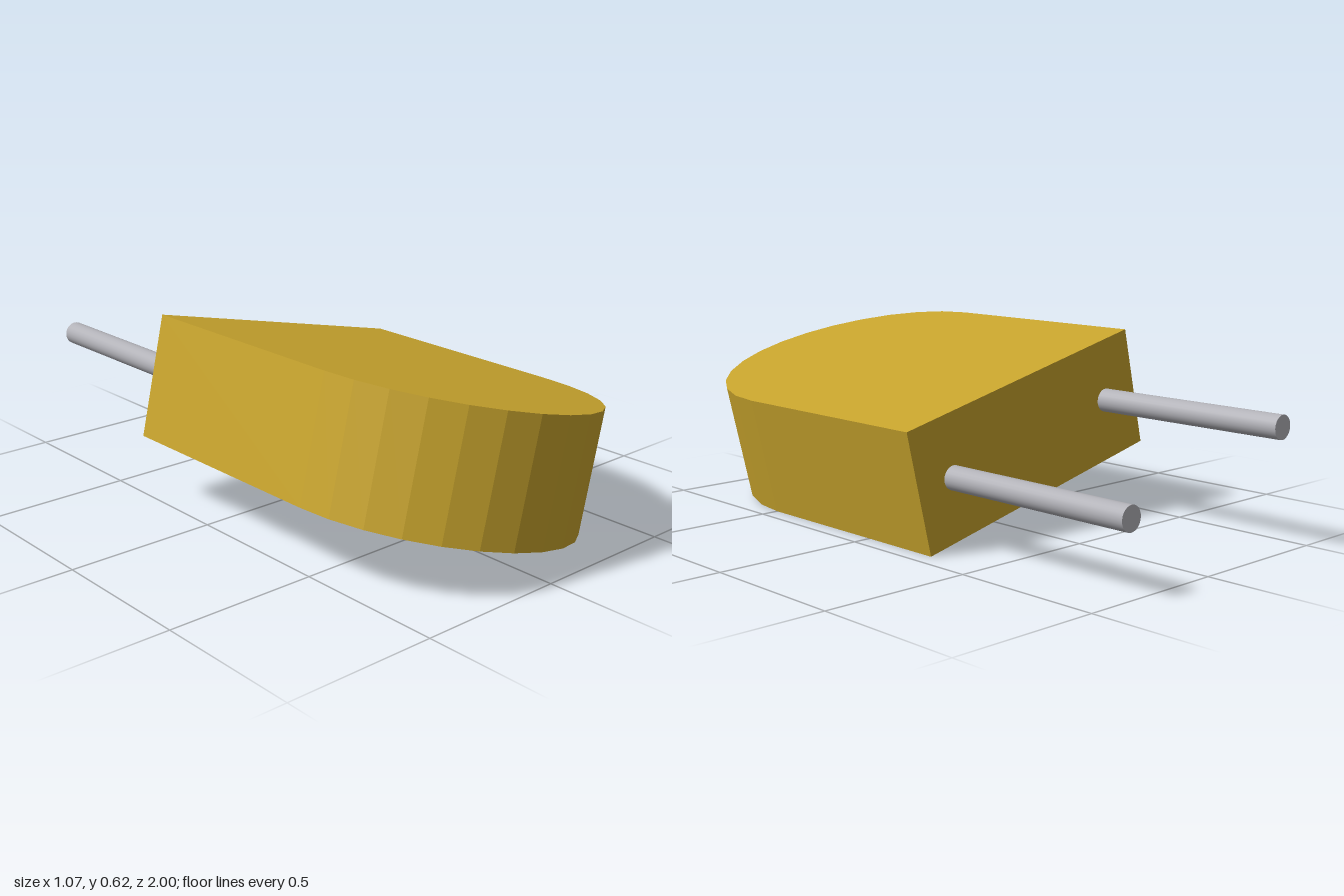
import * as THREE from 'three';

const TILT = -0.2317;     // roll of the whole object about its long axis
const HALF_WIDTH = 0.5;
const THICKNESS = 0.406;
const BACK_Z = -0.295;
const PIN_RADIUS = 0.039;

export function createModel() {
  const bodyGold = new THREE.MeshStandardMaterial({ color: 0xc8a42d, flatShading: true });
  bodyGold.name = 'bodyGold';
  const pinMetal = new THREE.MeshStandardMaterial({ color: 0xb2b2b8 });
  pinMetal.name = 'pinMetal';

  const model = new THREE.Group();
  model.name = 'twoPinPart';
  model.rotation.z = TILT;
  model.position.y = 0.314;

  // Body: slab with a square back and a faceted round front
  const segments = 14;
  const outline = [new THREE.Vector2(-HALF_WIDTH, BACK_Z), new THREE.Vector2(HALF_WIDTH, BACK_Z)];
  for (let i = 0; i <= segments; i++) {
    const a = (Math.PI * i) / segments;
    outline.push(new THREE.Vector2(HALF_WIDTH * Math.cos(a), 0.5 + 0.5 * Math.sin(a)));
  }
  const bodyGeometry = new THREE.ExtrudeGeometry(new THREE.Shape(outline), {
    depth: THICKNESS, bevelEnabled: false,
  });
  bodyGeometry.translate(0, 0, -THICKNESS / 2).rotateX(Math.PI / 2);
  const body = new THREE.Mesh(bodyGeometry, bodyGold);
  body.name = 'body';
  model.add(body);

  // Pins: a pair of round legs out of the back
  const pinLength = 1 + BACK_Z;
  const pinGeometry = new THREE.CylinderGeometry(PIN_RADIUS, PIN_RADIUS, pinLength, 24);
  pinGeometry.rotateX(Math.PI / 2);
  for (const side of [-1, 1]) {
    const pin = new THREE.Mesh(pinGeometry, pinMetal);
    pin.name = side > 0 ? 'leftPin' : 'rightPin';
    pin.position.set(side * 0.355, 0, -1 + pinLength / 2);
    model.add(pin);
  }

  const root = new THREE.Group();
  root.name = 'model';
  root.add(model);
  return root;
}
